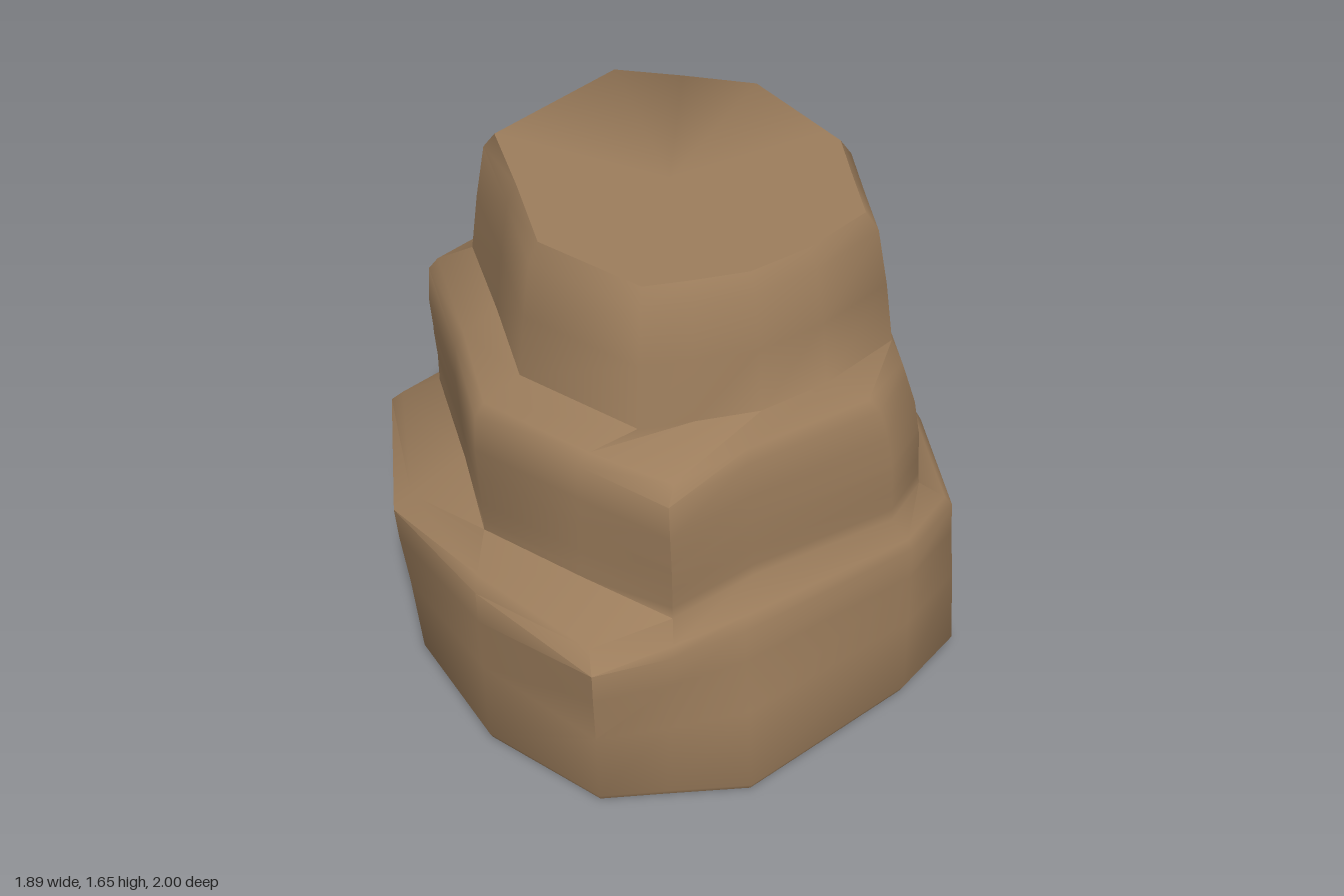
import * as THREE from 'three';
import { toCreasedNormals } from 'three/addons/utils/BufferGeometryUtils.js';

// Outlines (x, z), clockwise seen from above, starting at the back; columns correspond.
const foot = [[-.06, -1], [.25, -.83], [.62, -.62], [.69, -.58], [.81, -.32], [.94, .08], [.8, .33],
  [.37, .82], [.12, .88], [-.08, .93], [-.46, .72], [-.75, .36], [-.9, -.19], [-.4, -.82]];
const lower = [[-.05, -.94], [.25, -.79], [.6, -.61], [.67, -.57], [.78, -.33], [.9, .09], [.79, .32],
  [.33, .75], [.14, .89], [-.08, 1], [-.48, .7], [-.81, .36], [-.95, -.19], [-.43, -.86]];
const middle = [[-.06, -.85], [.2, -.73], [.49, -.59], [.55, -.56], [.65, -.36], [.8, .12], [.73, .31],
  [.34, .62], [.13, .84], [-.16, .7], [-.49, .53], [-.62, .2], [-.79, -.19], [-.39, -.78]];
const upper = [[-.05, -.69], [.22, -.68], [.5, -.4], [.55, -.35], [.61, -.13], [.67, .08], [.5, .32],
  [.33, .48], [.15, .56], [0, .62], [-.37, .43], [-.5, .12], [-.64, -.19], [-.3, -.69]];

// Rings from the ground up: outline, next outline, blend, scale, height, scale of the +x half, slot depth
const rings = [
  [foot, foot, 0, .985, 0, 1, 0],
  [foot, foot, 0, 1, .025, 1, 0],
  [foot, lower, .45, 1, .3, 1, 0],
  [foot, lower, .85, 1, .48, 1, 0],
  [lower, lower, 0, 1, .59, 1, 0],
  [lower, middle, .25, 1, .625, 1, 0],
  [middle, middle, 0, .99, .69, 1, 0],
  [middle, middle, 0, .99, .73, .995, 0],
  [middle, middle, 0, .99, .79, .99, 1],
  [middle, middle, 0, 1, .88, .975, 1],
  [middle, middle, 0, 1, .9, .97, 0],
  [middle, middle, 0, 1.01, 1, .94, 0],
  [middle, middle, 0, 1, 1.11, .91, 0],
  [middle, upper, .2, 1, 1.15, .92, 0],
  [upper, upper, 0, 1.01, 1.205, 1, 0],
  [upper, upper, 0, .97, 1.4, 1, 0],
  [upper, upper, 0, .92, 1.58, 1, 0],
  [upper, upper, 0, .86, 1.635, 1, 0],
];

function rockGeometry() {
  const n = foot.length, pos = [], index = [];
  rings.forEach(([a, b, t, s, y, right, slot], r) => {
    for (let j = 0; j < n; j++) {
      let x = THREE.MathUtils.lerp(a[j][0], b[j][0], t) * s;
      let z = THREE.MathUtils.lerp(a[j][1], b[j][1], t) * s;
      if (x > 0) x *= right;
      // Slot in the back right face of the middle tier
      if (slot && j === 2) { x -= .07; z += .13; }
      if (slot && j === 1) { x -= .01; z += .02; }
      // The plateau tilts slightly, the middle shelf rises to the left
      let h = y;
      if (y > 1.5) h -= .02 * z + .02 * x;
      else if (y > 1.1) h -= .02 * x;
      pos.push(x, h, z);
    }
    if (r === 0) return;
    for (let j = 0; j < n; j++) {
      const k = (j + 1) % n, p = (r - 1) * n, q = r * n;
      index.push(p + j, q + j, p + k, p + k, q + j, q + k);
    }
  });
  // Caps
  const last = (rings.length - 1) * n, base = pos.length / 3;
  pos.push(0, 0, 0, 0, 1.64, 0);
  for (let j = 0; j < n; j++) {
    const k = (j + 1) % n;
    index.push(base, j, k, base + 1, last + k, last + j);
  }
  const g = new THREE.BufferGeometry();
  g.setAttribute('position', new THREE.Float32BufferAttribute(pos, 3));
  g.setIndex(index);
  return toCreasedNormals(g, 0.95);
}

export function createModel() {
  const group = new THREE.Group();
  group.name = 'tieredRock';
  const stone = new THREE.MeshStandardMaterial({ color: 0x9c7d5c });
  stone.name = 'brown stone';
  const rock = new THREE.Mesh(rockGeometry(), stone);
  rock.name = 'rock';
  group.add(rock);
  return group;
}
